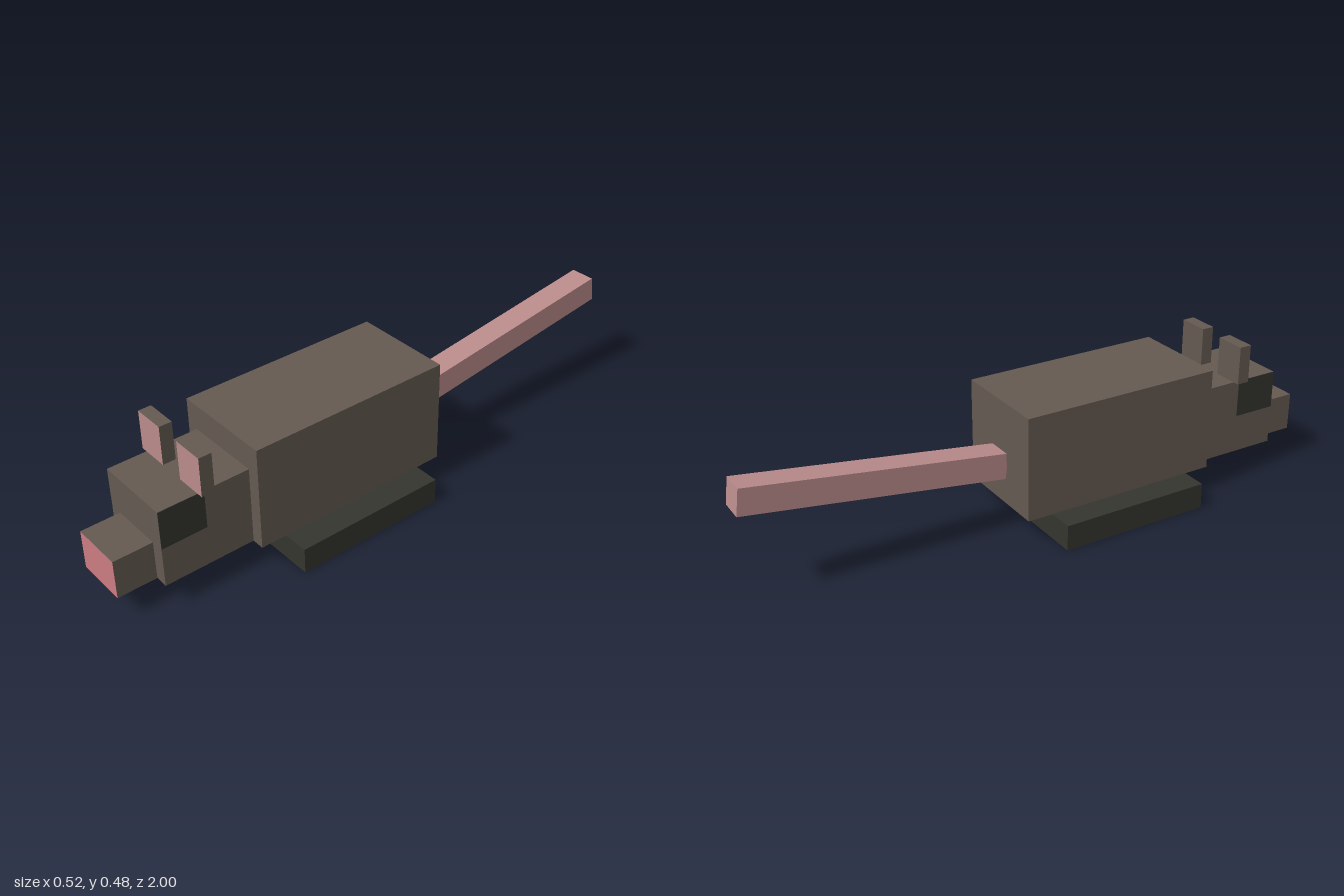
import * as THREE from 'three';

const fur = new THREE.MeshStandardMaterial({ color: 0x645a51 });
const darkFur = new THREE.MeshStandardMaterial({ color: 0x34352e });
const skin = new THREE.MeshStandardMaterial({ color: 0xba8b8b });
const nosePink = new THREE.MeshStandardMaterial({ color: 0xca7d83 });
fur.name = 'fur';
darkFur.name = 'darkFur';
skin.name = 'skin';
nosePink.name = 'nosePink';

// Box between two corners; an optional second material colours its front face
function box(name, [x0, y0, z0], [x1, y1, z1], material, front) {
  const geometry = new THREE.BoxGeometry(x1 - x0, y1 - y0, z1 - z0);
  const materials = front ? [material, material, material, material, front, material] : material;
  const mesh = new THREE.Mesh(geometry, materials);
  mesh.position.set((x0 + x1) / 2, (y0 + y1) / 2, (z0 + z1) / 2);
  mesh.name = name;
  return mesh;
}

export function createModel() {
  const model = new THREE.Group();
  model.name = 'rodent';

  // Feet slab, body, head and snout
  model.add(
    box('feet', [-0.262, 0, -0.045], [0.262, 0.087, 0.477], darkFur),
    box('body', [-0.174, 0.087, -0.132], [0.174, 0.436, 0.565], fur),
    box('head', [-0.131, 0.087, 0.565], [0.131, 0.349, 0.87], fur),
    box('snout', [-0.087, 0.087, 0.87], [0.087, 0.218, 1], fur, nosePink),
  );

  // Ears with pink fronts, and eye patches on the sides of the head
  for (const [side, s] of [['left', 1], ['right', -1]]) {
    const ear = box(side + 'Ear', [-0.054, 0.349, 0.696], [0.054, 0.48, 0.739], fur, skin);
    ear.position.x = s * 0.098;
    const eye = box(side + 'Eye', [-0.001, 0.22, 0.718], [0.001, 0.349, 0.87], darkFur);
    eye.position.x = s * 0.131;
    model.add(ear, eye);
  }

  // Tail, rising towards its tip
  const tail = new THREE.Mesh(new THREE.BoxGeometry(0.087, 0.087, 0.871), skin);
  tail.name = 'tail';
  tail.position.set(0, 0.282, -0.562);
  tail.rotation.x = 0.14;
  model.add(tail);

  return model;
}
